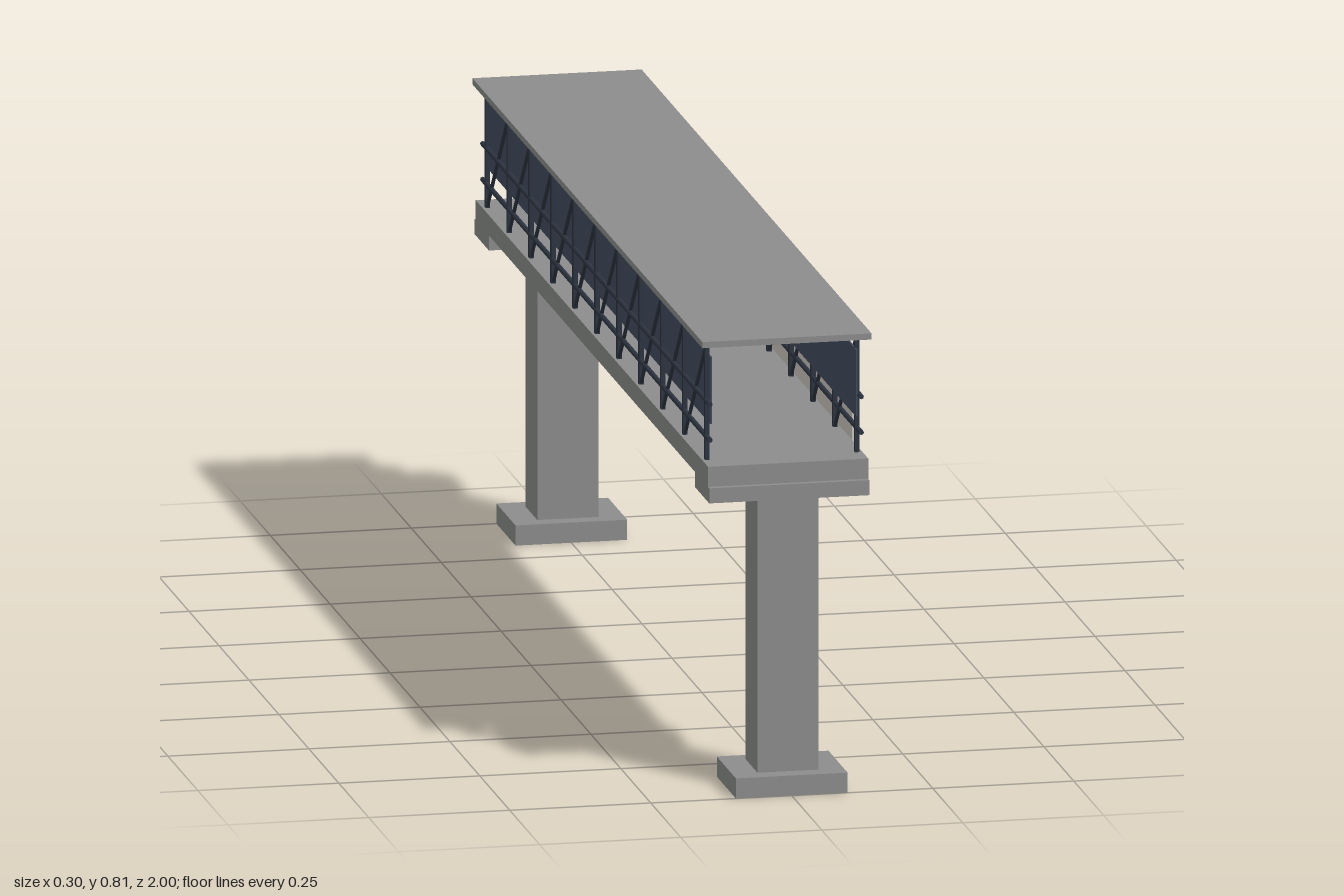
import * as THREE from 'three';

export function createModel() {
  const group = new THREE.Group();
  group.name = 'coveredFootbridge';

  const mat = (name, color) => {
    const m = new THREE.MeshStandardMaterial({ color });
    m.name = name;
    return m;
  };
  const concrete = mat('concrete grey', 0x8b8d8b);
  const steel = mat('dark steel', 0x2d3541);
  const glazing = mat('slate blue glazing', 0x424c5e);
  const board = mat('pale board', 0xcbc7c0);

  // Box given by its limits on each axis
  const box = (name, material, [x0, x1], [y0, y1], [z0, z1], parent = group) => {
    const mesh = new THREE.Mesh(new THREE.BoxGeometry(x1 - x0, y1 - y0, z1 - z0), material);
    mesh.position.set((x0 + x1) / 2, (y0 + y1) / 2, (z0 + z1) / 2);
    mesh.name = name;
    parent.add(mesh);
    return mesh;
  };

  // Piers at both ends: footing, column and cap
  for (const s of [1, -1]) {
    const pier = new THREE.Group();
    pier.name = s > 0 ? 'frontPier' : 'backPier';
    const span = (a, b) => (s > 0 ? [a, b] : [-b, -a]);
    box('footing', concrete, [-0.099, 0.099], [0, 0.036], span(0.84, 1), pier);
    box('column', concrete, [-0.054, 0.054], [0.036, 0.525], span(0.87, 0.968), pier);
    box('pierCap', concrete, [-0.142, 0.142], [0.525, 0.552], span(0.86, 0.98), pier);
    group.add(pier);
  }

  // Walkway and roof slabs
  box('deck', concrete, [-0.142, 0.142], [0.552, 0.588], [-0.97, 0.97]);
  box('roof', concrete, [-0.15, 0.15], [0.798, 0.809], [-0.96, 0.96]);

  // Side frames: posts, diagonal braces, rails and glazing
  const bays = 10;
  const bay = 0.1834;
  const bottom = 0.588;
  const top = 0.798;
  for (const s of [1, -1]) {
    const side = new THREE.Group();
    side.name = s > 0 ? 'leftSideFrame' : 'rightSideFrame';
    const x = s * 0.133;
    for (let i = 0; i <= bays; i++) {
      const z = (i - bays / 2) * bay;
      box('post', steel, [x - 0.004, x + 0.004], [bottom, top], [z - 0.005, z + 0.005], side);
      if (i === bays) continue;
      // Brace rises towards the front
      const h = top - bottom;
      const brace = new THREE.Mesh(
        new THREE.BoxGeometry(0.005, Math.hypot(h, bay) - 0.008, 0.005), steel);
      brace.position.set(x, (top + bottom) / 2, z + bay / 2);
      brace.rotation.x = Math.atan2(bay, h);
      brace.name = 'brace';
      side.add(brace);
    }
    for (const y of [0.63, 0.694]) {
      const rail = new THREE.Mesh(new THREE.CylinderGeometry(0.0045, 0.0045, 1.9, 8), steel);
      rail.rotation.x = Math.PI / 2;
      rail.position.set(s * 0.134, y, 0);
      rail.name = 'handrail';
      side.add(rail);
    }
    const g = s * 0.129;
    box('glazing', glazing, [g - 0.0015, g + 0.0015], [0.655, 0.775], [-0.935, 0.935], side);
    group.add(side);
  }

  // Long board fixed outside the left frame
  box('sideBoard', board, [0.1425, 0.1475], [0.58, 0.7], [-0.83, 0.83]);

  return group;
}
